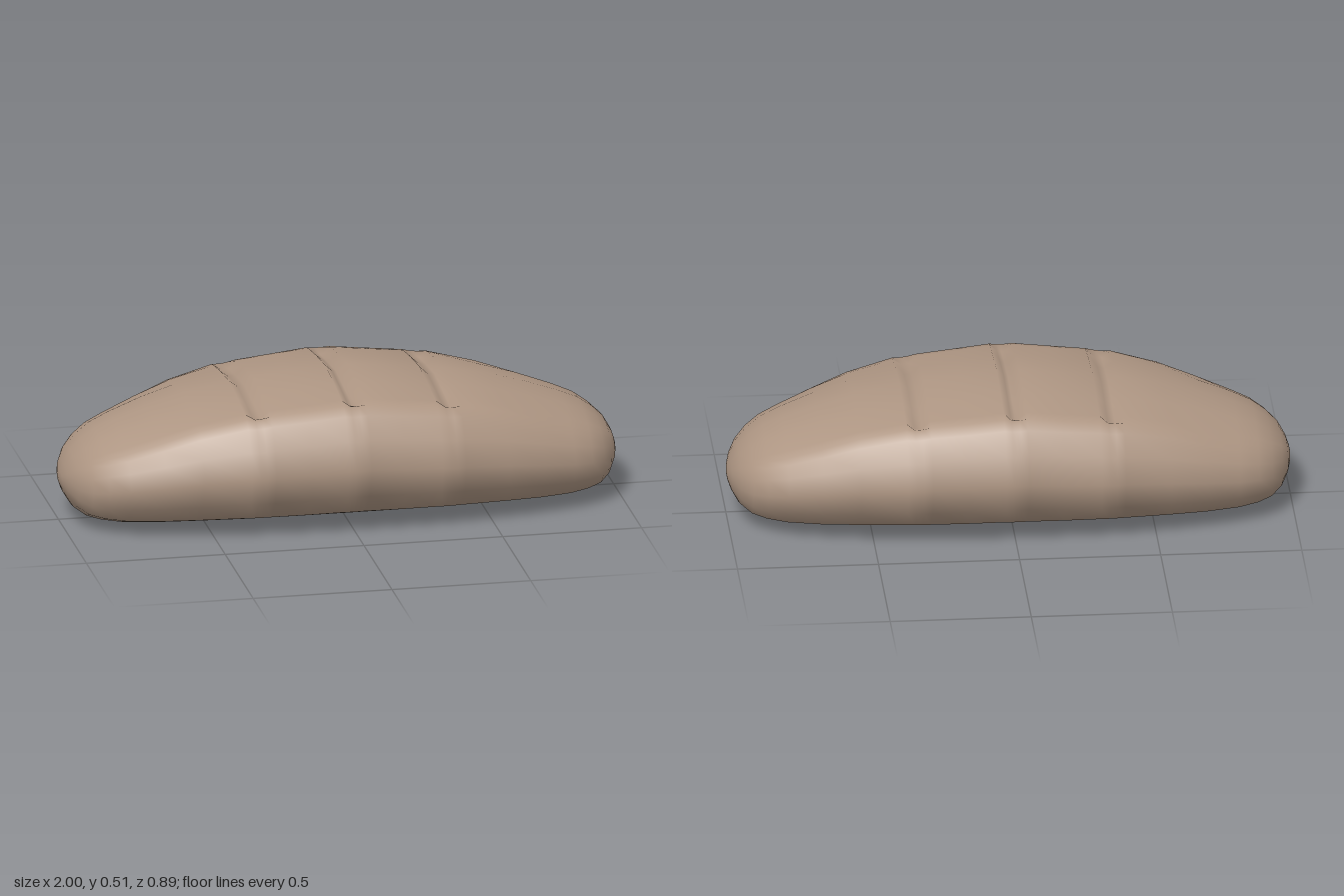
import * as THREE from 'three';

// Half of the loaf from the middle to the tip: x, top, bottom, half width, groove depth
const STATIONS = [
  [0, 0.512, 0.003, 0.447, 0.024],
  [0.015, 0.512, 0.003, 0.447, 0.02],
  [0.04, 0.515, 0.003, 0.446, 0],
  [0.17, 0.500, 0.003, 0.442, 0],
  [0.30, 0.487, 0.003, 0.433, 0],
  [0.33, 0.480, 0.003, 0.430, 0.022],
  [0.355, 0.477, 0.003, 0.427, 0.022],
  [0.385, 0.478, 0.003, 0.423, 0],
  [0.55, 0.445, 0.004, 0.392, 0],
  [0.68, 0.408, 0.005, 0.358, 0],
  [0.80, 0.365, 0.010, 0.315, 0],
  [0.87, 0.335, 0.020, 0.278, 0],
  [0.92, 0.300, 0.035, 0.236, 0],
  [0.96, 0.262, 0.063, 0.172, 0],
  [0.985, 0.218, 0.105, 0.105, 0],
  [0.996, 0.185, 0.135, 0.05, 0],
];

// Half cross-section from bottom to top: z and y as fractions, groove share
const SECTION = [
  [0, 0, 0], [0.4, 0.033, 0], [0.735, 0.135, 0], [0.933, 0.30, 0], [1, 0.506, 0],
  [0.933, 0.703, 0], [0.825, 0.855, 0], [0.75, 0.912, 0], [0.66, 0.93, 0.9],
  [0.37, 0.968, 1], [0, 1, 1],
];

function loafGeometry() {
  const half = SECTION.slice(1, -1);
  const loop = [...SECTION, ...half.reverse().map(([z, y, g]) => [-z, y, g])];
  const rows = [...STATIONS.slice(1).reverse().map(([x, ...r]) => [-x, ...r]), ...STATIONS];
  const n = loop.length;
  const pos = [];
  const index = [];

  for (const [x, top, bottom, width, depth] of rows) {
    // The shoulders become rounder toward the tips
    const round = THREE.MathUtils.smoothstep(Math.abs(x), 0.4, 0.85);
    for (const [z, y, g] of loop) {
      const oval = 0.5 + 0.5 * Math.sqrt(1 - z * z);
      const yy = y > 0.6 ? THREE.MathUtils.lerp(y, oval, round) : y;
      pos.push(x, bottom + (top - bottom) * yy - depth * g, width * z);
    }
  }
  for (let r = 0; r < rows.length - 1; r++) {
    for (let i = 0; i < n; i++) {
      const a = r * n + i, b = r * n + (i + 1) % n;
      index.push(a, a + n, b, b, a + n, b + n);
    }
  }
  // Tips
  const left = pos.length / 3, right = left + 1, last = (rows.length - 1) * n;
  pos.push(-1, 0.16, 0, 1, 0.16, 0);
  for (let i = 0; i < n; i++) {
    const j = (i + 1) % n;
    index.push(left, i, j, right, last + j, last + i);
  }

  const geometry = new THREE.BufferGeometry();
  geometry.setAttribute('position', new THREE.Float32BufferAttribute(pos, 3));
  geometry.setIndex(index);
  geometry.computeVertexNormals();
  return geometry;
}

export function createModel() {
  const crust = new THREE.MeshStandardMaterial({ color: 0xae9683 });
  crust.name = 'crust';
  const group = new THREE.Group();
  group.name = 'breadLoaf';
  const loaf = new THREE.Mesh(loafGeometry(), crust);
  loaf.name = 'scoredLoaf';
  group.add(loaf);
  return group;
}
